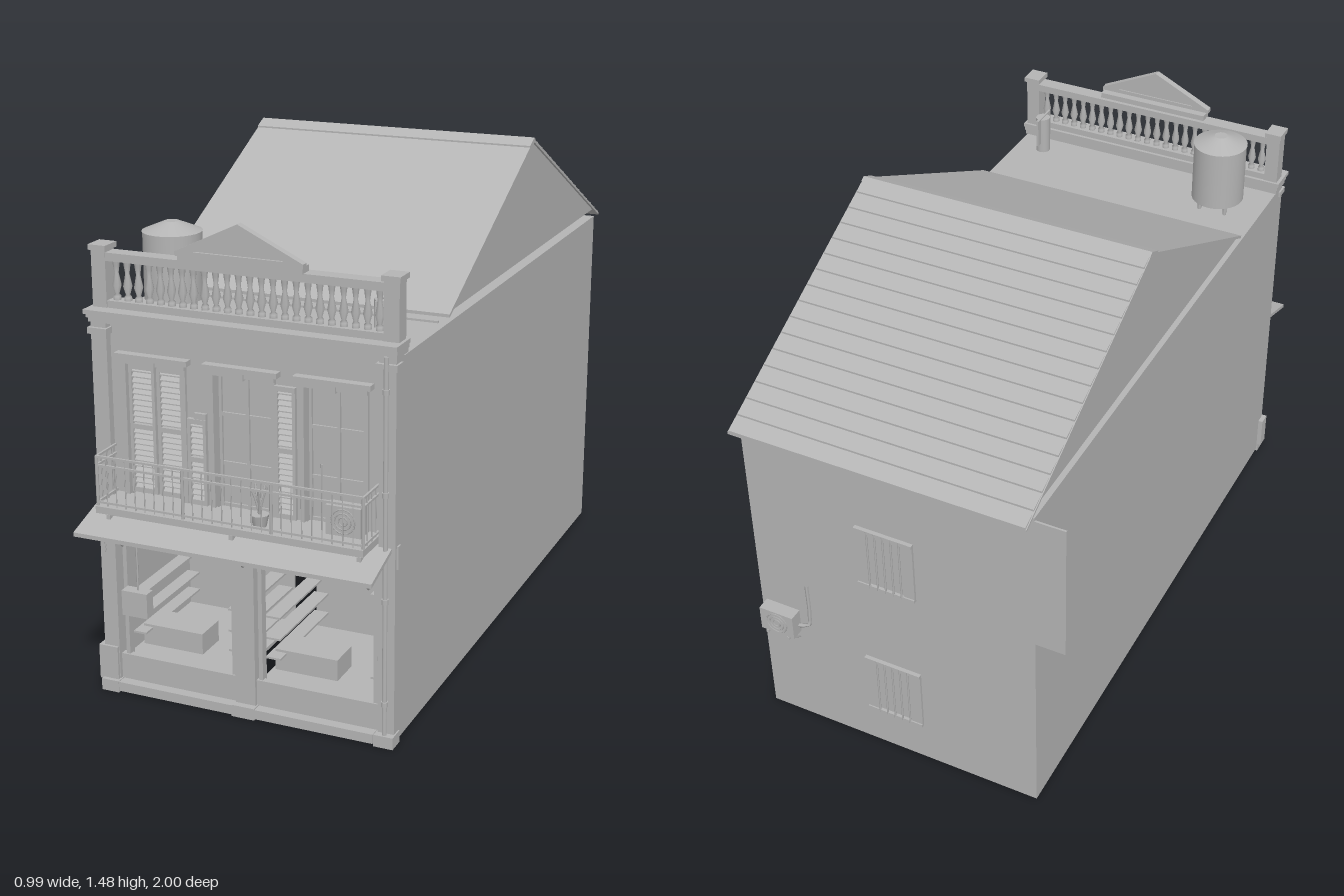
import * as THREE from 'three';

export function createModel() {
  const root = new THREE.Group();
  root.name = 'townhouse';
  const grey = new THREE.MeshStandardMaterial({ color: 0xb4b4b4 });
  grey.name = 'plaster grey';

  const add = (name, geo, parent = root) => {
    const m = new THREE.Mesh(geo, grey);
    m.name = name;
    parent.add(m);
    return m;
  };
  const group = (name) => {
    const g = new THREE.Group();
    g.name = name;
    root.add(g);
    return g;
  };
  // Box given by its limits on each axis
  const box = (name, x0, x1, y0, y1, z0, z1, parent) => {
    const g = new THREE.BoxGeometry(x1 - x0, y1 - y0, z1 - z0);
    g.translate((x0 + x1) / 2, (y0 + y1) / 2, (z0 + z1) / 2);
    return add(name, g, parent);
  };
  // Upright cylinder
  const cyl = (name, x, z, y0, y1, r, parent, sides = 10, rTop = r) => {
    const g = new THREE.CylinderGeometry(rTop, r, y1 - y0, sides);
    g.translate(x, (y0 + y1) / 2, z);
    return add(name, g, parent);
  };
  // Outline of [z, y] points swept along x
  const sweep = (name, pts, x0, x1, parent) => {
    const s = new THREE.Shape(pts.map(([z, y]) => new THREE.Vector2(-z, y)));
    const g = new THREE.ExtrudeGeometry(s, { depth: x1 - x0, bevelEnabled: false });
    g.rotateY(Math.PI / 2);
    g.translate(x0, 0, 0);
    return add(name, g, parent);
  };
  const tube = (name, pts, r, parent) => add(name, new THREE.TubeGeometry(
    new THREE.CatmullRomCurve3(pts.map(p => new THREE.Vector3(...p))), 10, r, 5), parent);

  const L = -0.405, R = 0.485, MID = 0.04;

  // Shell of the house, open underneath
  const shell = group('houseShell');
  box('rightWall', L, L + 0.008, 0.01, 1.09, -0.94, 0.84, shell);
  box('leftWall', R - 0.008, R, 0.01, 1.09, -0.94, 0.84, shell);
  box('backWall', L, R, 0.01, 1.09, -0.94, -0.932, shell);
  box('backWallReturn', -0.495, L, 0.64, 1.08, -0.94, -0.934, shell);
  box('terraceSlab', L, R, 1.07, 1.09, -0.93, 0.84, shell);
  box('terraceKerb', -0.385, 0.46, 1.09, 1.096, 0.49, 0.5, shell);

  // Upper facade with three door openings
  const facade = new THREE.Shape();
  [[L, 0.51], [R, 0.51], [R, 1.1], [L, 1.1]].forEach((p, i) => i ? facade.lineTo(...p) : facade.moveTo(...p));
  const doors = [[-0.31, -0.14], [-0.045, 0.125], [0.22, 0.39]];
  for (const [a, b] of doors) {
    const h = new THREE.Path();
    h.moveTo(a, 0.6); h.lineTo(a, 0.985); h.lineTo(b, 0.985); h.lineTo(b, 0.6);
    facade.holes.push(h);
  }
  const facadeGeo = new THREE.ExtrudeGeometry(facade, { depth: 0.03, bevelEnabled: false });
  facadeGeo.translate(0, 0, 0.81);
  add('upperFacade', facadeGeo);

  // Louvred shutter leaf
  const shutter = (x0, x1, y0, y1, z, parent) => {
    const f = 0.009;
    box('shutterStile', x0, x0 + f, y0, y1, z, z + 0.012, parent);
    box('shutterStile', x1 - f, x1, y0, y1, z, z + 0.012, parent);
    for (const y of [y0, (y0 + y1) / 2, y1 - 0.014]) box('shutterRail', x0, x1, y, y + 0.014, z, z + 0.012, parent);
    const n = Math.round((y1 - y0) / 0.016);
    for (let i = 1; i < n; i++) {
      const y = y0 + (y1 - y0) * i / n;
      sweep('shutterSlat', [[z, y + 0.006], [z, y + 0.003], [z + 0.01, y - 0.006], [z + 0.01, y - 0.003]], x0 + f, x1 - f, parent);
    }
  };

  // Balcony doors with mouldings
  doors.forEach(([a, b], i) => {
    const d = group('balconyDoor' + (i + 1));
    box('doorHead', a - 0.025, b + 0.025, 1.0, 1.015, 0.835, 0.866, d);
    box('doorHeadLower', a - 0.012, b + 0.012, 0.985, 1.0, 0.835, 0.856, d);
    box('keystone', (a + b) / 2 - 0.01, (a + b) / 2 + 0.01, 0.98, 1.002, 0.84, 0.862, d);
    for (const x of [a - 0.012, b]) box('doorJamb', x, x + 0.012, 0.6, 0.99, 0.83, 0.85, d);
    const m = (a + b) / 2;
    box('doorPanel', a, b, 0.6, 0.985, 0.8, 0.808, d);
    if (i === 0) {
      shutter(a + 0.002, m - 0.004, 0.61, 0.98, 0.826, d);
      shutter(m + 0.004, b - 0.002, 0.61, 0.98, 0.826, d);
    } else {
      for (const x of [a, m - 0.004, b - 0.008]) box('doorStile', x, x + 0.008, 0.6, 0.985, 0.806, 0.816, d);
      for (const y of [0.6, 0.72, 0.86]) box('doorRail', a, b, y, y + 0.01, 0.806, 0.814, d);
    }
  });
  const leaves = group('openShutters');
  shutter(-0.12, -0.064, 0.61, 0.855, 0.848, leaves);
  box('shutterTop', -0.1, -0.064, 0.855, 0.872, 0.848, 0.858, leaves);
  shutter(0.14, 0.2, 0.61, 0.98, 0.848, leaves);

  // Pilasters with bases and caps
  for (const [a, b] of [[L, -0.358], [0.437, R]]) {
    const p = group('pilaster');
    box('pilasterShaft', a, b, 0, 1.1, 0.83, 0.862, p);
    box('pilasterBase', a - 0.004, b + 0.004, 0, 0.035, 0.83, 0.882, p);
    box('pilasterCap', a - 0.006, b + 0.006, 1.062, 1.08, 0.83, 0.872, p);
  }
  box('plinthBlock', -0.42, -0.36, 0.03, 0.135, 0.83, 0.87);
  box('middleColumn', 0.01, 0.07, 0, 0.52, 0.81, 0.86);
  box('middleColumnBase', 0.005, 0.075, 0, 0.035, 0.81, 0.88);

  // Cornice
  [[1.095, 1.108, 0.868], [1.108, 1.12, 0.874], [1.12, 1.132, 0.884]].forEach(([y0, y1, z], i) =>
    box('cornice', L - 0.004 - i * 0.003, R + 0.003 + i * 0.003, y0, y1, 0.79, z));

  // Shops on the ground floor
  for (const [a, b, s] of [[-0.345, 0.005, 1], [0.075, 0.43, -1]]) {
    const g = group('shop');
    box('shopBackWall', a, b, 0.1, 0.515, 0.45, 0.456, g);
    box('shopFloor', a, b, 0.095, 0.105, 0.45, 0.84, g);
    box('shopCeiling', a, b, 0.51, 0.516, 0.45, 0.83, g);
    box('frontSill', a - 0.015, b + 0.005, 0.03, 0.11, 0.83, 0.85, g);
    box('frontStep', a - 0.01, b, 0.005, 0.033, 0.83, 0.88, g);
    for (const x of [a, b - 0.012]) box('shopPost', x, x + 0.012, 0.1, 0.51, 0.82, 0.845, g);
    box('shutterBox', a + 0.012, b - 0.012, 0.46, 0.468, 0.47, 0.48, g);
    const wall = s > 0 ? b : a;
    for (const y of [0.155, 0.215, 0.28]) {
      box('innerShelf', Math.min(wall, wall - s * 0.045), Math.max(wall, wall - s * 0.045), y, y + 0.006, 0.47, 0.8, g);
    }
    const far = s > 0 ? a : b - 0.04;
    for (const y of s > 0 ? [0.155, 0.21, 0.28] : [0.155, 0.4]) box('outerShelf', far, far + 0.04, y, y + 0.006, 0.47, 0.8, g);
    box('counter', a + 0.01, a + 0.2, 0.105, 0.168, 0.66, 0.76, g);
    const lx = s > 0 ? -0.105 : 0.18;
    cyl('lampCord', lx, 0.65, 0.44, 0.512, 0.002, g, 5);
    cyl('lamp', lx, 0.65, 0.415, 0.44, 0.006, g, 8);
    box('stripLight', lx - 0.06, lx + 0.07, 0.502, 0.508, 0.64, 0.66, g);
  }
  box('hangingCabinet', -0.33, -0.25, 0.25, 0.325, 0.85, 0.885);
  cyl('cabinetRod', -0.288, 0.865, 0.325, 0.51, 0.003, root, 6);

  // Awning with curved brackets
  sweep('awning', [[1.0, 0.52], [1.0, 0.532], [0.85, 0.58], [0.85, 0.568]], L, 0.475);
  box('awningBeam', L, 0.49, 0.515, 0.58, 0.835, 0.852);
  for (const x of [-0.335, MID, 0.41]) {
    tube('awningBracket', [[x, 0.52, 0.985], [x, 0.505, 0.92], [x, 0.45, 0.86]], 0.004);
    box('awningBracketArm', x - 0.006, x + 0.006, 0.555, 0.568, 0.85, 0.93);
  }

  // Balcony and its railing
  const balcony = group('balcony');
  const bx0 = -0.352, bx1 = 0.437, bz = 0.958;
  box('balconyDeck', bx0, bx1, 0.585, 0.605, 0.84, 0.965, balcony);
  for (const y of [0.612, 0.718, 0.743]) {
    box('frontRail', bx0, bx1, y, y + 0.006, bz - 0.006, bz, balcony);
    for (const x of [bx0, bx1 - 0.006]) box('sideRail', x, x + 0.006, y, y + 0.006, 0.85, bz, balcony);
  }
  for (let i = 0; i <= 27; i++) {
    cyl('railBar', bx0 + 0.003 + (bx1 - bx0 - 0.006) * i / 27, bz - 0.003, 0.605, 0.745, i % 9 ? 0.0018 : 0.005, balcony, 5);
  }
  for (const x of [bx0 + 0.003, bx1 - 0.003]) {
    for (const z of [0.87, 0.9, 0.93]) cyl('railBar', x, z, 0.605, 0.745, 0.0018, balcony, 5);
  }

  // Cooling unit with round fan
  const cooler = (x0, x1, y0, y1, z0, z1, dir) => {
    const g = group('coolingUnit');
    box('unitCase', x0, x1, y0, y1, z0, z1, g);
    const z = dir > 0 ? z1 : z0, x = (x0 + x1) / 2, y = (y0 + y1) / 2;
    for (const r of [0.012, 0.023, 0.034]) {
      const t = new THREE.TorusGeometry(r, 0.002, 4, 16);
      t.translate(x, y, z);
      add('fanRing', t, g);
    }
  };
  cooler(0.305, 0.405, 0.608, 0.69, 0.865, 0.905, 1);
  cyl('flowerPot', 0.122, 0.92, 0.605, 0.64, 0.018, balcony, 10, 0.026);
  for (let i = 0; i < 5; i++) {
    const a = i * 1.26;
    tube('plantStem', [[0.122, 0.635, 0.92], [0.122 + 0.01 * Math.cos(a), 0.68, 0.92 + 0.01 * Math.sin(a)],
      [0.122 + 0.024 * Math.cos(a), 0.72, 0.92 + 0.024 * Math.sin(a)]], 0.003, balcony);
  }
  cyl('balconyPole', 0.285, 0.88, 0.605, 0.79, 0.003, balcony, 5);

  // Roof balustrade with turned balusters
  const rail = group('roofBalustrade');
  box('bottomRail', L, R, 1.13, 1.152, 0.8, 0.842, rail);
  box('topRail', L, R, 1.262, 1.285, 0.798, 0.844, rail);
  for (const [a, b] of [[L, -0.362], [0.442, R]]) {
    box('pedestal', a, b, 1.13, 1.295, 0.798, 0.845, rail);
    box('pedestalCap', a - 0.005, b + 0.005, 1.29, 1.305, 0.79, 0.852, rail);
  }
  const profile = [[0.011, 0], [0.011, 0.01], [0.006, 0.016], [0.013, 0.04], [0.006, 0.075], [0.009, 0.095], [0.011, 0.11]]
    .map(p => new THREE.Vector2(...p));
  for (let i = 0; i < 24; i++) {
    const g = new THREE.LatheGeometry(profile, 8);
    g.translate(-0.342 + 0.764 * i / 23, 1.152, 0.821);
    add('baluster', g, rail);
  }

  // Pediment above the balustrade
  const ped = new THREE.Shape([[-0.145, 1.3], [0.225, 1.3], [0.225, 1.312], [MID, 1.4], [-0.145, 1.312]].map(p => new THREE.Vector2(...p)));
  const inner = new THREE.Path([[-0.09, 1.314], [MID, 1.377], [0.17, 1.314]].map(p => new THREE.Vector2(...p)));
  ped.holes.push(inner);
  const pedGeo = new THREE.ExtrudeGeometry(ped, { depth: 0.022, bevelEnabled: false });
  pedGeo.translate(0, 0, 0.834);
  add('pedimentFrame', pedGeo);
  const face = new THREE.ExtrudeGeometry(new THREE.Shape(inner.getPoints()), { depth: 0.01, bevelEnabled: false });
  face.translate(0, 0, 0.838);
  add('pedimentFace', face);
  box('pedimentFoot', -0.14, 0.22, 1.284, 1.302, 0.81, 0.85);

  // Pitched roof raised slightly above the walls
  const roof = group('pitchedRoof');
  sweep('gables', [[0.47, 1.115], [-0.23, 1.462], [-0.93, 1.115]], L + 0.004, R - 0.004, roof);
  sweep('frontSlope', [[0.485, 1.105], [0.485, 1.114], [-0.23, 1.472], [-0.23, 1.46]], L - 0.003, R + 0.003, roof);
  sweep('backSlope', [[-0.99, 1.085], [-0.99, 1.092], [-0.23, 1.472], [-0.23, 1.462]], L - 0.003, R + 0.003, roof);
  for (let i = 0; i < 16; i++) {
    const z = k => -0.23 - 0.76 * k / 16, y = k => 1.471 - 0.379 * k / 16;
    sweep('tileCourse', [[z(i), y(i)], [z(i + 1), y(i + 1) + 0.006], [z(i + 1), y(i + 1)]], L, R, roof);
  }
  sweep('ridgeFlashing', [[-0.19, 1.452], [-0.19, 1.457], [-0.23, 1.476], [-0.245, 1.469]], L - 0.003, R + 0.003, roof);

  // Water tank on legs, and a small barrel
  const tank = group('waterTank');
  cyl('tankBody', -0.26, 0.655, 1.125, 1.315, 0.082, tank, 28);
  cyl('tankLid', -0.26, 0.655, 1.315, 1.342, 0.084, tank, 28, 0.02);
  for (let i = 0; i < 4; i++) {
    const a = Math.PI / 4 + i * Math.PI / 2;
    cyl('tankLeg', -0.26 + 0.06 * Math.cos(a), 0.655 + 0.06 * Math.sin(a), 1.09, 1.125, 0.006, tank, 6);
  }
  cyl('barrel', 0.393, 0.73, 1.09, 1.21, 0.023, root, 14);
  box('barrelPlate', 0.39, 0.396, 1.122, 1.214, 0.688, 0.778);

  // Drainpipe on the front
  cyl('drainpipe', 0.46, 0.87, 0.01, 1.1, 0.007, root, 8);
  for (const y of [0.12, 0.42, 0.72, 1.0]) cyl('pipeCollar', 0.46, 0.87, y, y + 0.014, 0.01, root, 8);
  tube('cable', [[-0.385, 0.52, 0.866], [-0.387, 0.47, 0.867], [-0.385, 0.425, 0.866]], 0.002);

  // Barred windows on the back
  for (const y of [0.145, 0.645]) {
    const w = group('backWindow'), a = -0.04, b = 0.14, t = y + 0.21;
    box('windowPane', a + 0.03, b - 0.03, y, t, -0.943, -0.938, w);
    for (const x of [a, b - 0.035]) box('windowShutter', x, x + 0.035, y, t, -0.948, -0.94, w);
    for (const v of [y, t - 0.01]) box('windowRail', a, b, v, v + 0.01, -0.952, -0.94, w);
    for (let i = 0; i < 5; i++) cyl('windowBar', a + 0.04 + i * 0.025, -0.95, y, t, 0.003, w, 5);
  }

  // Cooling unit and pipe on the back
  cooler(0.345, 0.455, 0.38, 0.46, -0.998, -0.958, -1);
  for (const x of [0.365, 0.435]) {
    box('unitArm', x - 0.004, x + 0.004, 0.37, 0.38, -1, -0.94);
    tube('unitBrace', [[x, 0.372, -0.99], [x, 0.35, -0.965], [x, 0.33, -0.94]], 0.003);
  }
  tube('unitPipe', [[0.35, 0.41, -0.97], [0.325, 0.4, -0.948], [0.32, 0.44, -0.945], [0.32, 0.555, -0.945]], 0.006);

  return root;
}
